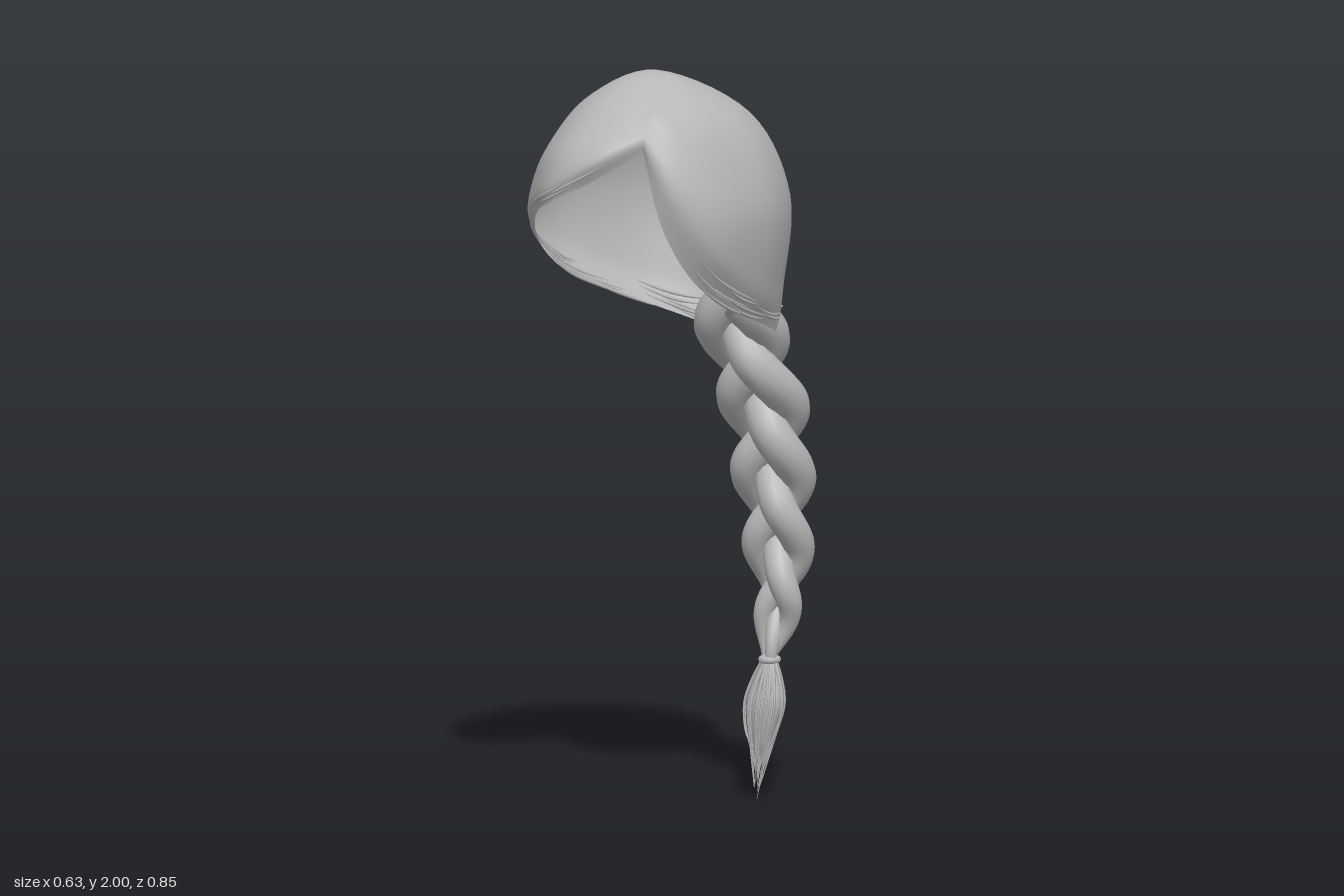
import * as THREE from 'three';

const V = (p) => new THREE.Vector3(...p);
const hairMat = new THREE.MeshStandardMaterial({ color: 0xb8b8b8, side: THREE.DoubleSide });
hairMat.name = 'hairGrey';

// small seeded random generator
let seed = 7;
const rnd = (a = 0, b = 1) => {
  seed = (seed * 16807) % 2147483647;
  return a + (b - a) * (seed / 2147483647);
};

function lerpTable(table, u) {
  const f = Math.min(Math.max(u, 0), 1) * (table.length - 1);
  const i = Math.min(Math.floor(f), table.length - 2);
  return table[i] + (table[i + 1] - table[i]) * (f - i);
}

function mesh(name, geometry) {
  const m = new THREE.Mesh(geometry, hairMat);
  m.name = name;
  return m;
}

// tube whose radius follows a rule along its length
function taperedTube(curve, segments, sides, radius) {
  const g = new THREE.TubeGeometry(curve, segments, 1, sides);
  const pos = g.attributes.position;
  const p = new THREE.Vector3();
  for (let i = 0; i <= segments; i++) {
    const c = curve.getPointAt(i / segments);
    for (let j = 0; j <= sides; j++) {
      const k = i * (sides + 1) + j;
      p.fromBufferAttribute(pos, k).sub(c).multiplyScalar(radius(i / segments)).add(c);
      pos.setXYZ(k, p.x, p.y, p.z);
    }
  }
  return g;
}

// Cap cross-sections, each running from the parting over the fringe, round the back and home again
const crown = [
  [0.16, 1.935, 0.22], [0.08, 1.945, 0.25], [0, 1.945, 0.26], [-0.08, 1.935, 0.24],
  [-0.15, 1.915, 0.2], [-0.19, 1.905, 0.14], [-0.205, 1.9, 0.06], [-0.19, 1.88, -0.06],
  [-0.11, 1.875, -0.16], [0, 1.87, -0.195], [0.11, 1.875, -0.16], [0.19, 1.88, -0.06],
  [0.205, 1.9, 0.06], [0.205, 1.905, 0.12], [0.19, 1.915, 0.18], [0.16, 1.935, 0.22]];
const middle = [
  [0.185, 1.88, 0.27], [0.1, 1.85, 0.35], [-0.01, 1.83, 0.385], [-0.14, 1.8, 0.34],
  [-0.25, 1.74, 0.25], [-0.295, 1.7, 0.15], [-0.295, 1.68, 0.03], [-0.26, 1.66, -0.13],
  [-0.15, 1.65, -0.265], [0, 1.65, -0.31], [0.15, 1.65, -0.265], [0.26, 1.66, -0.13],
  [0.3, 1.68, 0.03], [0.295, 1.72, 0.14], [0.25, 1.8, 0.22], [0.185, 1.88, 0.27]];
const lower = [
  [0.19, 1.85, 0.285], [0.1, 1.79, 0.395], [-0.02, 1.73, 0.43], [-0.14, 1.69, 0.385],
  [-0.265, 1.61, 0.295], [-0.305, 1.54, 0.18], [-0.29, 1.48, 0.05], [-0.235, 1.42, -0.12],
  [-0.13, 1.4, -0.25], [0, 1.39, -0.285], [0.14, 1.4, -0.25], [0.24, 1.42, -0.12],
  [0.295, 1.5, 0.04], [0.305, 1.57, 0.14], [0.265, 1.7, 0.24], [0.19, 1.85, 0.285]];
const rim = [
  [0.185, 1.82, 0.28], [0.09, 1.74, 0.38], [-0.02, 1.68, 0.425], [-0.13, 1.63, 0.385],
  [-0.21, 1.54, 0.31], [-0.24, 1.45, 0.2], [-0.23, 1.38, 0.05], [-0.18, 1.31, -0.12],
  [-0.11, 1.26, -0.24], [0, 1.25, -0.29], [0.12, 1.27, -0.25], [0.2, 1.32, -0.12],
  [0.24, 1.38, 0.03], [0.245, 1.47, 0.16], [0.225, 1.62, 0.25], [0.185, 1.82, 0.28]];
const rings = [crown, middle, lower, rim].map((r) => new THREE.CatmullRomCurve3(r.map(V)));
const apex = V([0, 2, 0.07]);

// meridian from the apex to the rim; the first point keeps the top rounded
function meridian(u) {
  const pts = [rings[0].getPoint((u + 0.5) % 1), apex, ...rings.map((r) => r.getPoint(u))];
  const curve = new THREE.CatmullRomCurve3(pts, false, 'catmullrom', 0.5);
  return (v) => curve.getPoint((1 + 4 * v) / 5);
}

function capGeometry(nu = 96, nv = 28) {
  const pos = [], index = [];
  for (let i = 0; i <= nu; i++) {
    const at = meridian(i / nu);
    for (let j = 0; j <= nv; j++) pos.push(...at(j / nv).toArray());
  }
  for (let i = 0; i < nu; i++) {
    for (let j = 0; j < nv; j++) {
      const a = i * (nv + 1) + j, b = a + nv + 1;
      if (j > 0) index.push(a, b, a + 1);
      index.push(b, b + 1, a + 1);
    }
  }
  const g = new THREE.BufferGeometry();
  g.setAttribute('position', new THREE.Float32BufferAttribute(pos, 3));
  g.setIndex(index);
  g.computeVertexNormals();
  return g;
}

// one of three strands weaving in a figure of eight round the spine
const spine = new THREE.CatmullRomCurve3([
  [0.02, 1.37, -0.17], [0.02, 1.2, -0.235], [0.02, 1.03, -0.295], [0.02, 0.86, -0.32],
  [0.02, 0.7, -0.335], [0.025, 0.54, -0.335], [0.015, 0.38, -0.31]].map(V));
const braidScale = [1, 1, 0.98, 0.92, 0.82, 0.66, 0.26];
class BraidStrand extends THREE.Curve {
  constructor(phase) {
    super();
    this.phase = phase;
  }
  getPoint(u, target = new THREE.Vector3()) {
    const c = spine.getPoint(u), s = lerpTable(braidScale, u);
    const t = 10.47 * (1.27 - c.y) + this.phase;
    return target.set(c.x + 0.078 * s * Math.sin(t), c.y, c.z + 0.038 * s * Math.sin(2 * t));
  }
}

export function createModel() {
  seed = 7;
  const model = new THREE.Group();
  model.name = 'braidedHair';
  model.add(mesh('hairCap', capGeometry()));

  // fine locks lying along the fringe and lower edge
  const locks = new THREE.Group();
  locks.name = 'edgeLocks';
  for (let k = 0; k < 34; k++) {
    const u0 = rnd(0.04, 0.82), len = rnd(0.06, 0.15), v0 = rnd(0.8, 0.99);
    const pts = [];
    for (let i = 0; i <= 8; i++) {
      pts.push(meridian(u0 + (len * i) / 8)(Math.min(1, v0 + 0.03 * Math.sin(i / 3))));
    }
    locks.add(mesh('edgeLock', taperedTube(new THREE.CatmullRomCurve3(pts), 16, 5,
      (u) => 0.005 * Math.sin(Math.PI * u))));
  }
  model.add(locks);

  // braid
  const braid = new THREE.Group();
  braid.name = 'braid';
  for (let k = 0; k < 3; k++) {
    braid.add(mesh('braidStrand', taperedTube(new BraidStrand((k * 2 * Math.PI) / 3), 110, 14,
      (u) => (u === 0 ? 0 : 0.057 * lerpTable(braidScale, u)))));
  }
  model.add(braid);

  // tie
  const tie = mesh('braidTie', new THREE.TorusGeometry(0.02, 0.011, 8, 20));
  tie.rotation.x = Math.PI / 2;
  tie.position.set(0.015, 0.37, -0.31);
  model.add(tie);

  // tuft below the tie: a soft core with loose hairs around it
  const tuft = new THREE.Group();
  tuft.name = 'tuft';
  const leanZ = (y) => -0.31 + 0.05 * ((0.37 - y) / 0.37);
  const profile = [[0, 0.05], [0.012, 0.1], [0.035, 0.17], [0.054, 0.25], [0.042, 0.31], [0.018, 0.37]];
  const core = new THREE.LatheGeometry(
    new THREE.SplineCurve(profile.map((p) => new THREE.Vector2(...p))).getPoints(20), 18);
  const cp = core.attributes.position;
  for (let i = 0; i < cp.count; i++) {
    const y = cp.getY(i);
    cp.setXYZ(i, cp.getX(i) + 0.015, y, cp.getZ(i) * 0.72 + leanZ(y));
  }
  core.computeVertexNormals();
  tuft.add(mesh('tuftCore', core));
  for (let k = 0; k < 40; k++) {
    const a = k * 2.4, w = rnd(0.8, 1.1), tip = k === 0 ? 0 : rnd(0.02, 0.13);
    const pts = [[0.018, 0.37], [0.046, 0.31], [0.061, 0.25], [0.042, 0.16], [0.008, tip]].map(([r, y]) =>
      V([0.015 + r * w * Math.cos(a), y, leanZ(y) + 0.74 * r * w * Math.sin(a)]));
    tuft.add(mesh('tuftHair', taperedTube(new THREE.CatmullRomCurve3(pts), 16, 5,
      (u) => 0.006 * (1 - 0.85 * u))));
  }
  model.add(tuft);
  return model;
}
